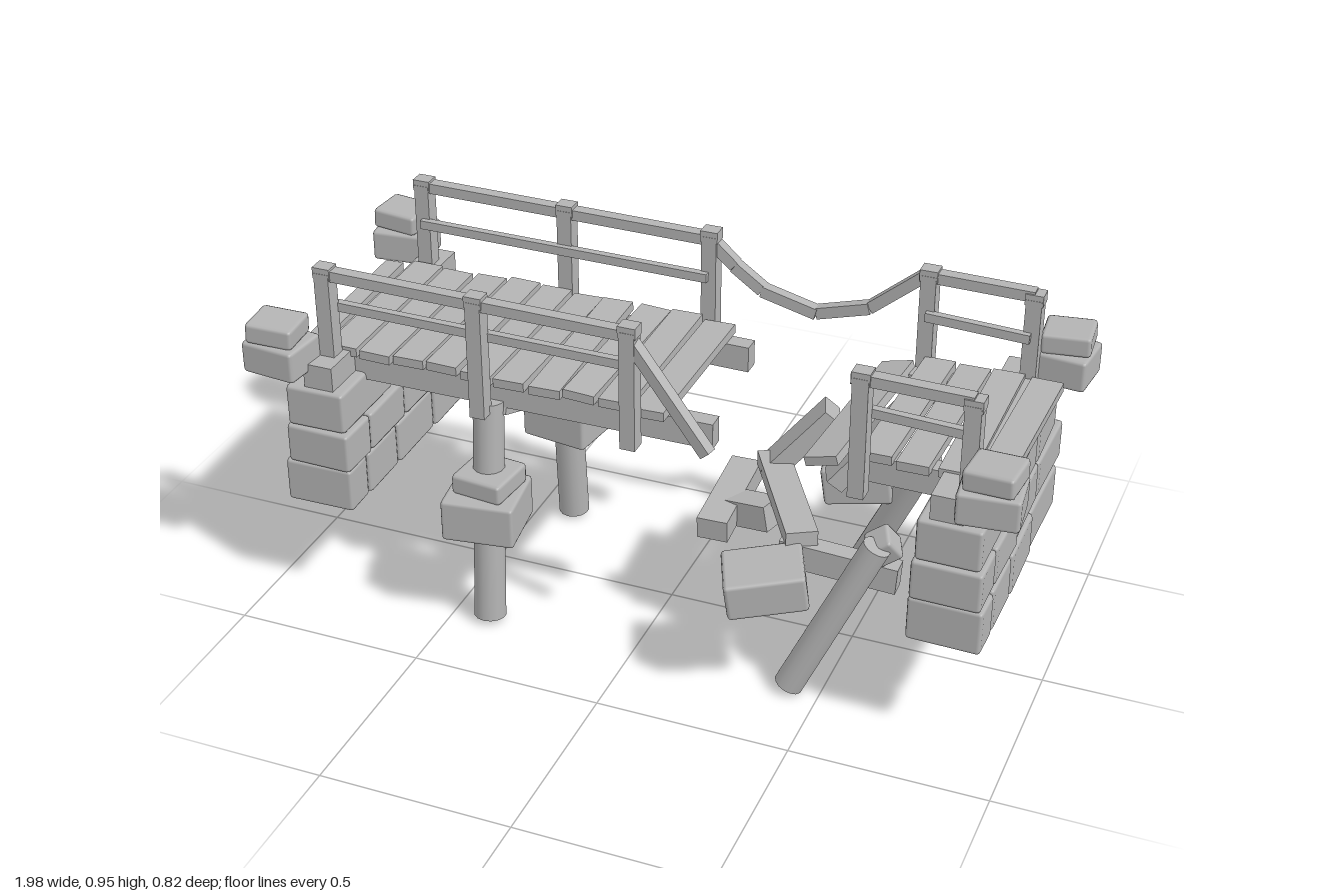
import * as THREE from 'three';
import { RoundedBoxGeometry } from 'three/addons/geometries/RoundedBoxGeometry.js';

export function createModel() {
  const root = new THREE.Group();
  root.name = 'brokenBridge';
  const grey = new THREE.MeshStandardMaterial({ color: 0xb4b4b4 });
  grey.name = 'plain grey';

  let seed = 7;
  const jitter = (s) => {
    seed = (seed * 16807) % 2147483647;
    return (seed / 2147483647 - 0.5) * 2 * s;
  };
  const add = (name, geometry) => {
    const mesh = new THREE.Mesh(geometry, grey);
    mesh.name = name;
    root.add(mesh);
    return mesh;
  };
  // Box given by its centre, size and rotation
  const box = (name, c, s, r = [0, 0, 0]) => {
    const m = add(name, new THREE.BoxGeometry(...s));
    m.position.set(...c);
    m.rotation.set(...r);
    return m;
  };
  // Bevelled stone
  const stone = (name, c, s, r = [0, 0, 0]) => {
    const m = add(name, new RoundedBoxGeometry(...s, 1, 0.01));
    m.position.set(...c);
    m.rotation.set(...r);
    return m;
  };
  // Square timber from a to b
  const beam = (name, a, b, w, h = w) => {
    const p = new THREE.Vector3(...a), q = new THREE.Vector3(...b);
    const m = add(name, new THREE.BoxGeometry(w, h, p.distanceTo(q)));
    m.position.copy(p).add(q).multiplyScalar(0.5);
    m.lookAt(q);
    return m;
  };
  // Round pile from a to b
  const pile = (name, a, b, r) => {
    const p = new THREE.Vector3(...a), q = new THREE.Vector3(...b);
    const m = add(name, new THREE.CylinderGeometry(r * 0.95, r, p.distanceTo(q), 14));
    m.position.copy(p).add(q).multiplyScalar(0.5);
    m.quaternion.setFromUnitVectors(new THREE.Vector3(0, 1, 0), q.sub(p).normalize());
    return m;
  };

  // Stone abutments: rows of blocks split along z
  const rows = [
    { y: 0.36, h: 0.12, w: 0.185, x: 0.825, z: [0.355, 0.255, 0.095, -0.11, -0.357] },
    { y: 0.475, h: 0.108, w: 0.175, x: 0.822, z: [0.362, 0.235, 0.045, -0.17, -0.398] },
    { y: 0.588, h: 0.112, w: 0.16, x: 0.825, z: [0.36, 0.09, -0.15, -0.355] },
  ];
  for (const side of [-1, 1]) {
    for (const row of rows) {
      for (let i = 0; i < row.z.length - 1; i++) {
        const a = row.z[i], b = row.z[i + 1];
        stone('abutmentStone', [side * row.x + jitter(0.005), row.y, (a + b) / 2],
          [row.w, row.h, a - b - 0.004], [0, jitter(0.03), jitter(0.015)]);
      }
    }
    // Paired stones at the four corners
    for (const f of [-1, 1]) {
      stone('cornerStone', [side * 0.91, 0.727, f * 0.34], [0.15, 0.085, 0.13], [0, side * f * 0.1, 0]);
      stone('cornerCapStone', [side * 0.915, 0.797, f * 0.342], [0.125, 0.055, 0.115], [0, -side * f * 0.08, side * 0.04]);
    }
    box('sill', [side * 0.81, 0.677, 0], [0.08, 0.066, 0.69]);
    box('endPlank', [side * 0.895, 0.69, 0], [0.05, 0.03, 0.49], [0, 0.02, 0]);
  }

  // Long deck beams
  beam('deckBeam', [-0.83, 0.66, 0.205], [0.19, 0.655, 0.19], 0.045, 0.07);
  beam('deckBeam', [-0.83, 0.66, -0.205], [0.14, 0.655, -0.195], 0.045, 0.07);
  for (const f of [-1, 1]) beam('deckBeam', [0.54, 0.665, f * 0.2], [0.86, 0.665, f * 0.205], 0.045, 0.07);

  // Deck planks
  for (let i = 0; i < 10; i++) {
    box('plank', [-0.795 + i * 0.0925, 0.705 + jitter(0.004), jitter(0.008)], [0.083, 0.024, 0.485],
      [jitter(0.012), jitter(0.02), jitter(0.04)]);
  }
  for (let i = 0; i < 4; i++) {
    box('plank', [0.612 + i * 0.092, 0.707, jitter(0.008)], [0.08, 0.024, 0.49],
      [jitter(0.01), jitter(0.03), jitter(0.04)]);
  }
  box('loosePlank', [0.5, 0.69, 0.02], [0.085, 0.024, 0.49], [0.02, -0.08, 0.28]);

  // Railings
  for (const f of [-1, 1]) {
    for (const x of [-0.81, -0.4, 0, 0.575, 0.84]) {
      const low = Math.abs(x) > 0.8 ? 0.645 : 0.62;
      const top = x === 0.84 ? 0.925 : 0.94;
      box('railPost', [x, (low + top) / 2, f * 0.27], [0.04, top - low, 0.042]);
      box('postCap', [x, top, f * 0.27], [0.046, 0.03, 0.04]);
    }
    beam('topRail', [-0.83, 0.935, f * 0.27], [0.01, 0.928, f * 0.27], 0.032, 0.028);
    beam('topRail', [0.55, 0.935, f * 0.27], [0.84, 0.932, f * 0.27], 0.032, 0.028);
    beam('midRail', [-0.81, 0.835, f * 0.244], [0, 0.83, f * 0.244], 0.02, 0.024);
    beam('midRail', [0.575, 0.835, f * 0.244], [0.84, 0.825, f * 0.244], 0.02, 0.024);
  }
  // Sagging back rail and snapped front rail
  const sag = [[0, 0.925], [0.065, 0.865], [0.14, 0.81], [0.285, 0.772], [0.425, 0.815], [0.56, 0.93]];
  for (let i = 0; i < sag.length - 1; i++) {
    beam('saggingRail', [...sag[i], i < 3 ? -0.27 : -0.277], [...sag[i + 1], -0.273], 0.03);
  }
  beam('snappedRail', [0, 0.915, 0.27], [0.215, 0.67, 0.31], 0.03);

  // Standing pier: leaning piles, stone collars and braces
  for (const f of [-1, 1]) {
    pile('pierPile', [-0.4, 0.02, f * 0.27], [-0.4, 0.64, f * 0.225], 0.042);
    stone('pierStone', [-0.4, 0.342, f * 0.26], [0.19, 0.115, 0.18], [0, f * 0.14, 0]);
    stone('pierCapStone', [-0.395, 0.425, f * 0.25], [0.14, 0.055, 0.14], [0, -f * 0.1, 0]);
  }
  for (const x of [-0.435, -0.365]) {
    beam('pierBrace', [x, 0.44, -0.22], [x, 0.6 + (x + 0.4) * 0.6, 0.22], 0.022, 0.035);
  }

  // Collapsed pier: toppled piles and displaced stones
  for (const f of [-1, 1]) {
    pile('toppledPile', [0.42, 0.022, f * 0.268], [0.615, 0.45, f * 0.22], 0.038);
  }
  stone('displacedStone', [0.42, 0.34, -0.27], [0.18, 0.11, 0.18], [0.05, 0.2, 0.12]);
  stone('displacedCapStone', [0.425, 0.42, -0.27], [0.13, 0.055, 0.13], [0.05, 0.1, -0.08]);
  stone('fallenStone', [0.36, 0.335, 0.295], [0.2, 0.1, 0.16], [0.05, 0.4, 0.12]);
  stone('pileTopStone', [0.62, 0.43, 0.18], [0.07, 0.07, 0.07], [0.3, 0.4, 0.5]);

  // Fallen timbers
  beam('fallenTimber', [0.59, 0.64, -0.18], [0.4, 0.4, -0.1], 0.07, 0.05);
  beam('fallenTimber', [0.36, 0.36, 0.18], [0.66, 0.34, 0.17], 0.05, 0.07);
  beam('fallenPlank', [0.22, 0.4, -0.15], [0.42, 0.41, 0.2], 0.08, 0.04);
  beam('fallenPlank', [0.37, 0.56, -0.17], [0.22, 0.38, -0.12], 0.08, 0.05);
  beam('fallenPlank', [0.15, 0.35, -0.15], [0.16, 0.33, 0.13], 0.08, 0.06);
  beam('fallenTimber', [0.14, 0.325, 0.0], [0.29, 0.355, 0.04], 0.07, 0.07);

  return root;
}
